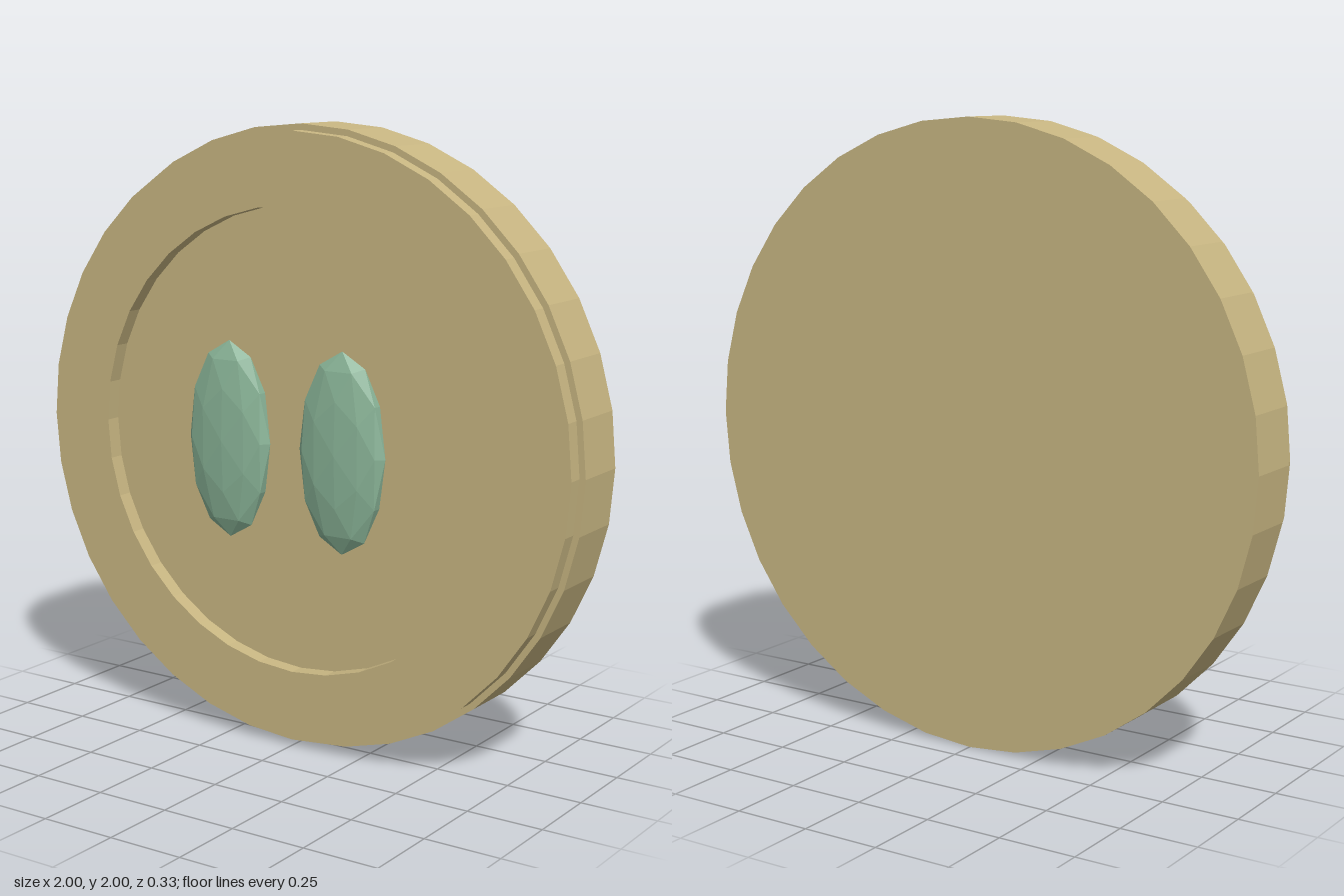
import * as THREE from 'three';

const SIDES = 36;
const BACK = -0.167, STEP = 0.03, FRONT = 0.082; // depths along z
const CENTRE_Y = 1;

export function createModel() {
  const tan = new THREE.MeshStandardMaterial({ color: 0xc8b682, flatShading: true });
  tan.name = 'tan';
  const green = new THREE.MeshStandardMaterial({ color: 0x8ab598, flatShading: true });
  green.name = 'sage green';

  const model = new THREE.Group();
  model.name = 'roundFace';
  const add = (name, geometry, material, x, y, z) => {
    const mesh = new THREE.Mesh(geometry, material);
    mesh.name = name;
    mesh.position.set(x, y, z);
    model.add(mesh);
  };

  // Thick disc standing on its edge
  const disc = new THREE.CylinderGeometry(1, 1, STEP - BACK, SIDES).rotateX(Math.PI / 2);
  add('disc', disc, tan, 0, CENTRE_Y, (STEP + BACK) / 2);

  // Raised flat rim around the recessed face
  const depth = FRONT - STEP;
  const profile = [[0.98, 0], [0.98, depth], [0.75, depth], [0.75, 0]]
    .map(([r, h]) => new THREE.Vector2(r, h));
  const rim = new THREE.LatheGeometry(profile, SIDES).rotateX(Math.PI / 2);
  add('rim', rim, tan, 0, CENTRE_Y, STEP);

  // Tall faceted eyes, flattened front to back
  const eye = new THREE.IcosahedronGeometry(1, 1).scale(0.158, 0.32, 0.048);
  add('leftEye', eye, green, 0.214, CENTRE_Y, 0.119);
  add('rightEye', eye, green, -0.214, CENTRE_Y, 0.119);

  return model;
}
